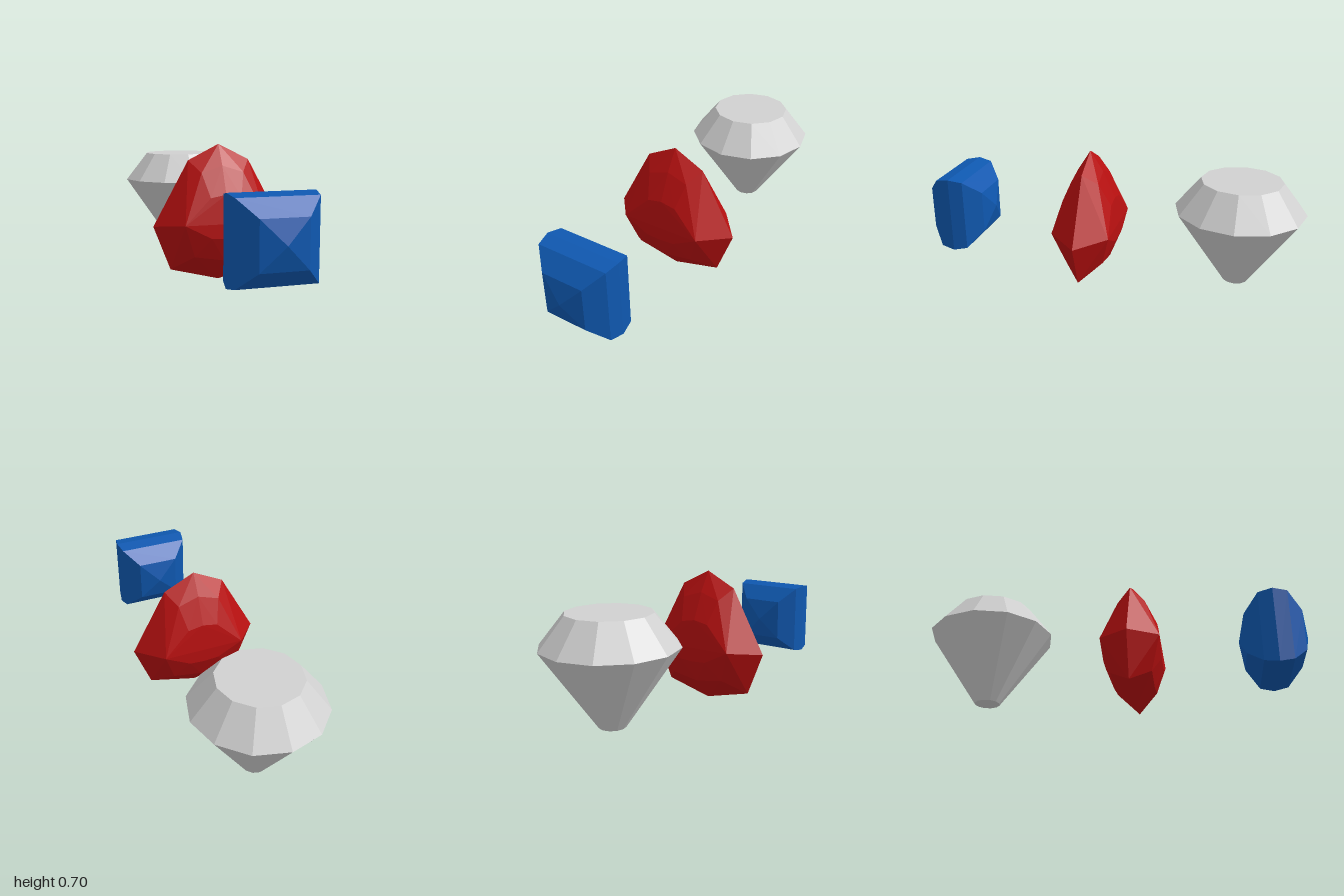
import * as THREE from 'three';
import { ConvexGeometry } from 'three/addons/geometries/ConvexGeometry.js';

function material(name, color) {
  const m = new THREE.MeshStandardMaterial({ color, flatShading: true });
  m.name = name;
  return m;
}

// Faceted solid of revolution; profile runs from bottom to top as [radius, height]
function facetedLathe(profile, sides, phiStart = 0) {
  const points = profile.map(([r, y]) => new THREE.Vector2(r, y));
  return new THREE.LatheGeometry(points, sides, phiStart);
}

export function createModel() {
  const group = new THREE.Group();
  group.name = 'gems';

  const add = (name, geometry, mat, y, z) => {
    const mesh = new THREE.Mesh(geometry, mat);
    mesh.name = name;
    mesh.position.set(0, y, z);
    group.add(mesh);
    return mesh;
  };

  // Round brilliant: flat table, crown, girdle, tapered pavilion
  add('roundGem', facetedLathe(
    [[0, 0.07], [0.065, 0.07], [0.328, 0.455], [0.204, 0.61], [0, 0.61]], 12
  ), material('clear grey', 0xd0d0d0), 0, -0.673);

  // Pear-shaped gem: girdle outline plus facet rings mirrored front and back
  const halfOutline = [
    // girdle
    [0, 0.7, 0], [0.16, 0.62, 0], [0.342, 0.29, 0], [0.255, 0.065, 0], [0, 0, 0],
    // outer facet ring
    [0, 0.594, 0.067], [0.11, 0.56, 0.072], [0.215, 0.31, 0.15], [0.155, 0.143, 0.104], [0, 0.117, 0.104],
    // inner facet ring
    [0, 0.455, 0.131], [0.08, 0.44, 0.131], [0.08, 0.24, 0.15], [0, 0.235, 0.15],
  ];
  const pearPoints = [];
  for (const [x, y, z] of halfOutline) {
    for (const sx of x ? [1, -1] : [1]) {
      for (const sz of z ? [1, -1] : [1]) pearPoints.push(new THREE.Vector3(x * sx, y, z * sz));
    }
  }
  add('pearGem', new ConvexGeometry(pearPoints), material('red', 0xb81010), 0, 0.105);

  // Square gem: square sections stacked along z, ending in shallow pyramids
  const sections = [[0, 0.175], [0.11, 0.146], [0.187, 0.073], [0.2, 0]];
  const profile = [
    ...sections.map(([h, z]) => [h, -z]),
    ...sections.slice(0, -1).reverse(),
  ].map(([h, z]) => [h * Math.SQRT2, z]);
  add('squareGem', facetedLathe(profile, 4, Math.PI / 4).rotateX(Math.PI / 2),
    material('blue', 0x0f58b0), 0.34, 0.825);

  return group;
}
